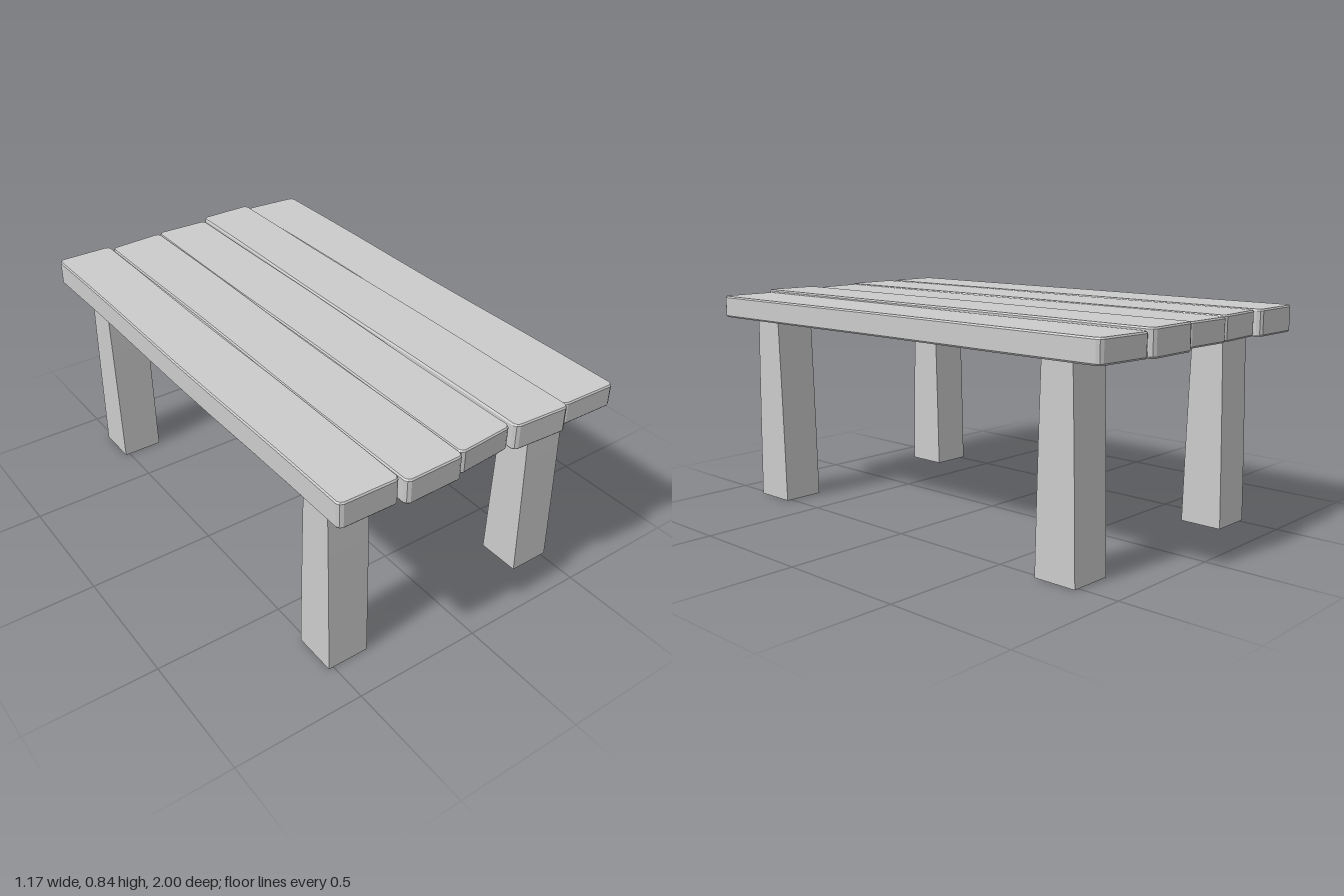
import * as THREE from 'three';

const wood = new THREE.MeshStandardMaterial({ color: 0xcccccc, flatShading: true });

// One plank: a slightly wavy outline with clipped corners, extruded upwards.
function makePlank({ x0, x1, backL, backR, frontL, frontR, bottom, top, phase }) {
  const clip = 0.018, bevel = 0.006, steps = 8;
  const wave = (t, k) => 0.004 * Math.sin(t * 7 + phase + k) * Math.sin(Math.PI * t);
  const points = [];
  // shape y is -z
  for (let i = 0; i <= steps; i++) {
    const t = i / steps;
    const z = THREE.MathUtils.lerp(frontR - clip, backR + clip, t);
    points.push(new THREE.Vector2(x1 + wave(t, 0), -z));
  }
  points.push(new THREE.Vector2(x1 - clip * 0.35, -backR - clip * -0.35));
  points.push(new THREE.Vector2(x1 - clip, -backR));
  points.push(new THREE.Vector2(x0 + clip, -backL));
  points.push(new THREE.Vector2(x0 + clip * 0.35, -backL - clip * 0.35));
  for (let i = 0; i <= steps; i++) {
    const t = i / steps;
    const z = THREE.MathUtils.lerp(backL + clip, frontL - clip, t);
    points.push(new THREE.Vector2(x0 + wave(1 - t, 1.5), -z));
  }
  points.push(new THREE.Vector2(x0 + clip * 0.35, -frontL + clip * 0.35));
  points.push(new THREE.Vector2(x0 + clip, -frontL));
  points.push(new THREE.Vector2(x1 - clip, -frontR));
  points.push(new THREE.Vector2(x1 - clip * 0.35, -frontR + clip * 0.35));
  // the back clip must point inwards
  points[steps + 1].y = -(backR + clip * 0.35);
  const geometry = new THREE.ExtrudeGeometry(new THREE.Shape(points), {
    depth: top - bottom - 2 * bevel, bevelEnabled: true, bevelSegments: 1,
    bevelThickness: bevel, bevelSize: bevel * 0.7, bevelOffset: -bevel * 0.7,
  });
  geometry.rotateX(-Math.PI / 2);
  geometry.translate(0, bottom + bevel, 0);
  return new THREE.Mesh(geometry, wood);
}

// A square leg that narrows in z towards the tabletop.
function makeLeg(sideX, sideZ) {
  const height = 0.76;
  const geometry = new THREE.BoxGeometry(0.164, height, 1, 1, 3, 1);
  geometry.translate(0, height / 2, 0);
  const p = geometry.attributes.position;
  for (let i = 0; i < p.count; i++) {
    const t = p.getY(i) / height;
    const width = 0.17 - 0.03 * t - 0.012 * t * t;
    p.setZ(i, p.getZ(i) * width);
  }
  geometry.computeVertexNormals();
  const leg = new THREE.Mesh(geometry, wood);
  leg.position.set(sideX * 0.437, 0, sideZ * 0.757);
  leg.name = (sideZ > 0 ? 'front' : 'back') + (sideX > 0 ? 'Left' : 'Right') + 'Leg';
  return leg;
}

export function createModel() {
  const table = new THREE.Group();
  table.name = 'plankTable';

  // Tabletop of five uneven planks
  const tabletop = new THREE.Group();
  tabletop.name = 'tabletop';
  const planks = [
    { x0: -0.583, x1: -0.353, backL: -0.975, backR: -0.975, frontL: 0.967, frontR: 0.97, bottom: 0.743, top: 0.842 },
    { x0: -0.349, x1: -0.117, backL: -0.957, backR: -0.97, frontL: 0.995, frontR: 0.992, bottom: 0.746, top: 0.84 },
    { x0: -0.115, x1: 0.112, backL: -0.983, backR: -0.977, frontL: 0.975, frontR: 0.96, bottom: 0.748, top: 0.837 },
    { x0: 0.119, x1: 0.347, backL: -0.998, backR: -1, frontL: 0.978, frontR: 0.99, bottom: 0.743, top: 0.842 },
    { x0: 0.35, x1: 0.583, backL: -0.99, backR: -0.975, frontL: 0.967, frontR: 0.973, bottom: 0.745, top: 0.831 },
  ];
  planks.forEach((data, i) => {
    const plank = makePlank({ ...data, phase: i * 1.9 });
    plank.name = `plank${i + 1}`;
    tabletop.add(plank);
  });
  table.add(tabletop);

  // Four legs
  for (const sx of [-1, 1]) for (const sz of [-1, 1]) table.add(makeLeg(sx, sz));
  return table;
}
